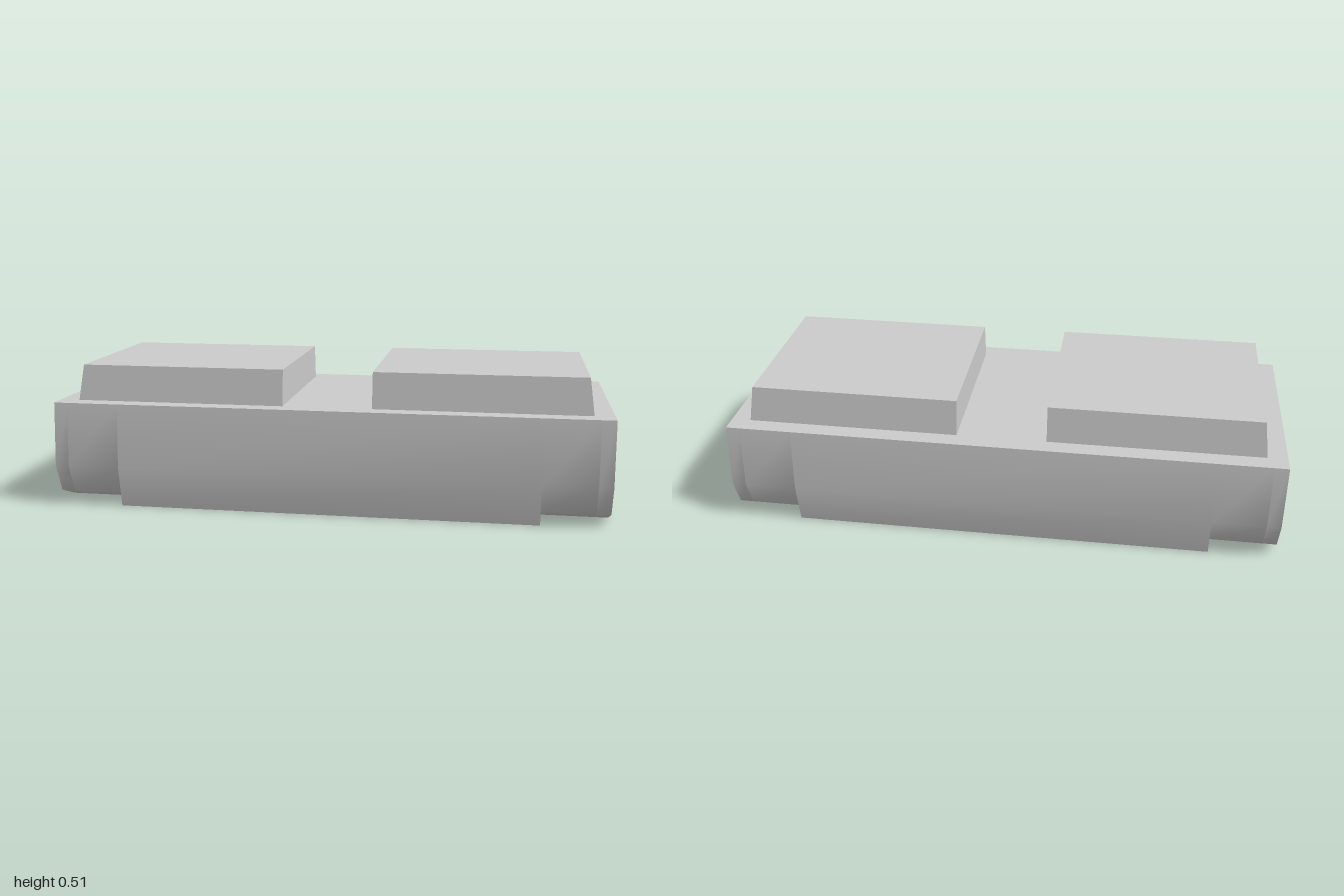
import * as THREE from 'three';
import { toCreasedNormals } from 'three/addons/utils/BufferGeometryUtils.js';

const grey = new THREE.MeshStandardMaterial({ color: 0xcccccc });

// Extrude a [z, y] outline along x, from x0 to x1
function section(name, points, x0, x1) {
  const shape = new THREE.Shape(points.map(([z, y]) => new THREE.Vector2(-z, y)));
  const extruded = new THREE.ExtrudeGeometry(shape, { depth: x1 - x0, bevelEnabled: false });
  extruded.rotateY(Math.PI / 2).translate(x0, 0, 0);
  const mesh = new THREE.Mesh(toCreasedNormals(extruded, 0.88), grey);
  mesh.name = name;
  return mesh;
}

// Raised pad with sloping outer, front and back sides and an upright inner side
function topPad() {
  const [y0, y1] = [0.38, 0.512];
  const geometry = new THREE.BoxGeometry(1, 1, 1).toNonIndexed();
  const p = geometry.attributes.position;
  for (let i = 0; i < p.count; i++) {
    const top = p.getY(i) > 0;
    const x = p.getX(i) < 0 ? 0.162 : top ? 0.912 : 0.93;
    p.setXYZ(i, x, top ? y1 : y0, Math.sign(p.getZ(i)) * (top ? 0.31 : 0.327));
  }
  geometry.computeVertexNormals();
  const mesh = new THREE.Mesh(geometry, grey);
  mesh.name = 'topPad';
  return mesh;
}

// Half of the model on +x: end plate, hollow bay behind it, and pad
function endUnit(name) {
  const back = [[-0.26, 0.003], [-0.365, 0.045], [-0.408, 0.15], [-0.39, 0.382]];
  const front = back.map(([z, y]) => [-z, y]).reverse();
  const shell = [...front, ...back];

  const unit = new THREE.Group();
  unit.name = name;
  unit.add(
    section('endPlate', [...shell.slice(0, 4), [-0.09, 0.044], ...shell.slice(4)], 0.95, 1),
    section('undersideBay', [...front, [0.25, 0.07], [0.2, 0.13], [-0.2, 0.13], [-0.25, 0.07], ...back], 0.76, 0.95),
    topPad()
  );
  return unit;
}

export function createModel() {
  const model = new THREE.Group();
  model.name = 'model';

  // Middle body with the flat-bottomed lower block
  model.add(section('centreBody', [
    [0.39, 0.382], [0.408, 0.15], [0.382, 0],
    [-0.382, 0], [-0.408, 0.15], [-0.39, 0.382],
  ], -0.76, 0.76));

  // The two ends are the same unit turned half way round
  const left = endUnit('leftEnd');
  const right = endUnit('rightEnd');
  right.rotation.y = Math.PI;
  model.add(left, right);
  return model;
}
